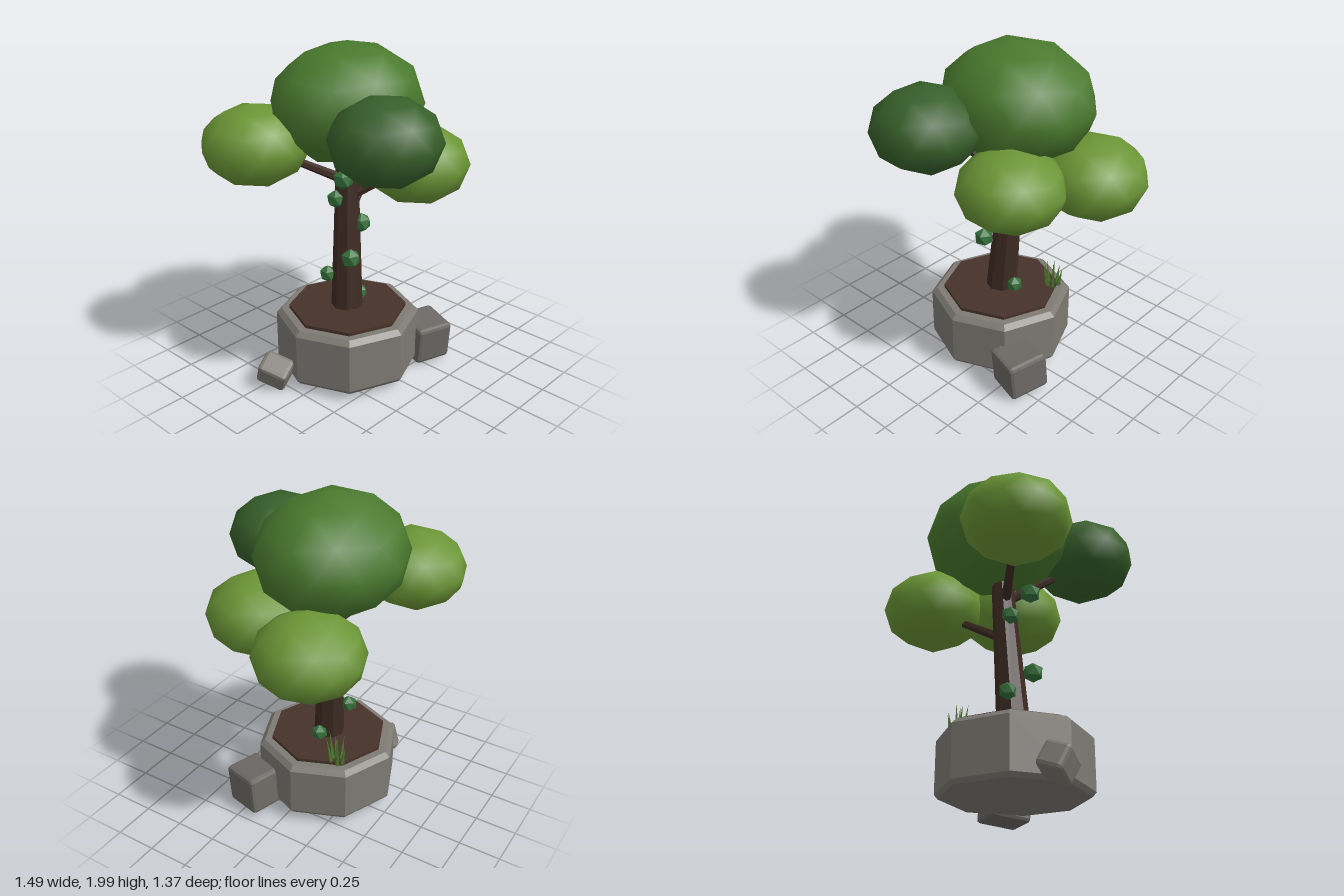
import * as THREE from 'three';
import { RoundedBoxGeometry } from 'three/addons/geometries/RoundedBoxGeometry.js';

const mat = (color, flatShading = true) => new THREE.MeshStandardMaterial({ color, flatShading });
const V = (a) => new THREE.Vector3(...a);

export function createModel() {
  const root = new THREE.Group();
  const bark = mat(0x3d2b22), stone = mat(0x7d7a73), rockGrey = mat(0x6c6965);
  const soilBrown = mat(0x46332a), ivyGreen = mat(0x35703a), grassGreen = mat(0x4f7530);
  const leafMid = mat(0x4a7a2e, false), leafDark = mat(0x375f2a, false), leafLight = mat(0x6b9636, false);

  const add = (name, geometry, material, pos = [0, 0, 0], parent = root) => {
    const mesh = new THREE.Mesh(geometry, material);
    mesh.name = name;
    mesh.position.set(...pos);
    parent.add(mesh);
    return mesh;
  };

  // Tapered limb running from point a to point b
  const limb = (name, a, b, r0, r1, sides) => {
    const from = V(a), dir = V(b).sub(from);
    const geometry = new THREE.CylinderGeometry(r1, r0, dir.length(), sides);
    const mesh = add(name, geometry, bark, from.addScaledVector(dir, 0.5).toArray());
    mesh.quaternion.setFromUnitVectors(new THREE.Vector3(0, 1, 0), dir.normalize());
  };

  // Octagonal stone planter with bevelled rims, and its soil
  const profile = [[0, 0.055], [0.41, 0.055], [0.43, 0.08], [0.43, 0.375], [0.4, 0.405], [0, 0.405]];
  add('planter', new THREE.LatheGeometry(profile.map((p) => new THREE.Vector2(...p)), 8), stone, [-0.07, 0, -0.05]);
  add('soil', new THREE.CylinderGeometry(0.353, 0.353, 0.04, 8), soilBrown, [-0.07, 0.405, -0.05]);

  // Leaning trunk and a branch to each lower crown
  limb('trunk', [-0.07, 0.4, -0.055], [0, 1.6, -0.11], 0.095, 0.055, 8);
  const branches = [
    [[-0.03, 1.2, -0.09], [-0.42, 1.43, -0.35]],
    [[-0.03, 0.98, -0.08], [0.42, 1.26, -0.24]],
    [[-0.02, 1.1, -0.08], [0.22, 1.29, 0.19]],
    [[-0.02, 1.22, -0.09], [-0.21, 1.53, 0.33]],
  ];
  for (const [a, b] of branches) limb('branch', a, b, 0.03, 0.018, 6);

  // Leaf crowns: squashed smooth icospheres standing on a pole vertex
  const ball = new THREE.IcosahedronGeometry(1, 1);
  ball.rotateZ(-Math.atan(2 / (1 + Math.sqrt(5))));
  const crowns = [
    ['mainCrown', leafMid, [0.003, 1.655, -0.11], [0.467, 0.345, 0.418]],
    ['frontDarkCrown', leafDark, [-0.225, 1.58, 0.375], [0.31, 0.24, 0.307]],
    ['backRightCrown', leafLight, [-0.455, 1.455, -0.378], [0.308, 0.23, 0.308]],
    ['backLeftCrown', leafLight, [0.45, 1.285, -0.245], [0.31, 0.235, 0.305]],
    ['frontLeftCrown', leafLight, [0.24, 1.31, 0.207], [0.308, 0.231, 0.307]],
  ];
  for (const [name, material, pos, scale] of crowns) add(name, ball, material, pos).scale.set(...scale);

  // Ivy clumps climbing the trunk
  const ivy = [
    [0.038, 0.465, -0.053, 0.05], [-0.13, 0.615, -0.155, 0.052], [-0.13, 0.775, 0.035, 0.06],
    [0.02, 0.94, -0.02, 0.06], [-0.1, 1.1, -0.11, 0.055], [-0.15, 1.26, 0.0, 0.062],
  ];
  const clump = new THREE.IcosahedronGeometry(1, 0);
  clump.rotateZ(-Math.atan(2 / (1 + Math.sqrt(5))));
  for (const [x, y, z, r] of ivy) add('ivyClump', clump, ivyGreen, [x, y, z]).scale.setScalar(r);

  // Tuft of grass: thin cones fanning outwards
  const tuft = new THREE.Group();
  tuft.name = 'grassTuft';
  tuft.position.set(0.175, 0.42, -0.26);
  root.add(tuft);
  for (let i = 0; i < 7; i++) {
    const angle = i * 2.4, spread = i ? 0.035 : 0, height = 0.19 - 0.035 * (i % 3);
    const geometry = new THREE.ConeGeometry(0.015, height, 4).translate(0, height / 2, 0);
    const blade = add('grassBlade', geometry, grassGreen,
      [Math.cos(angle) * spread, 0, Math.sin(angle) * spread], tuft);
    const lean = i ? 0.17 : 0.04;
    blade.rotation.set(Math.sin(angle) * lean, 0, -Math.cos(angle) * lean);
  }

  // Chamfered boulders beside the planter
  const rock = (name, size, pos, rot, material) =>
    add(name, new RoundedBoxGeometry(...size, 1, 0.022), material, pos).rotation.set(...rot);
  rock('largeRock', [0.235, 0.24, 0.25], [0.33, 0.152, 0.228], [0.1, -0.3, 0.02], rockGrey);
  rock('smallRock', [0.15, 0.15, 0.18], [-0.545, 0.113, -0.19], [0.35, 0.45, 0.22], stone);

  return root;
}
